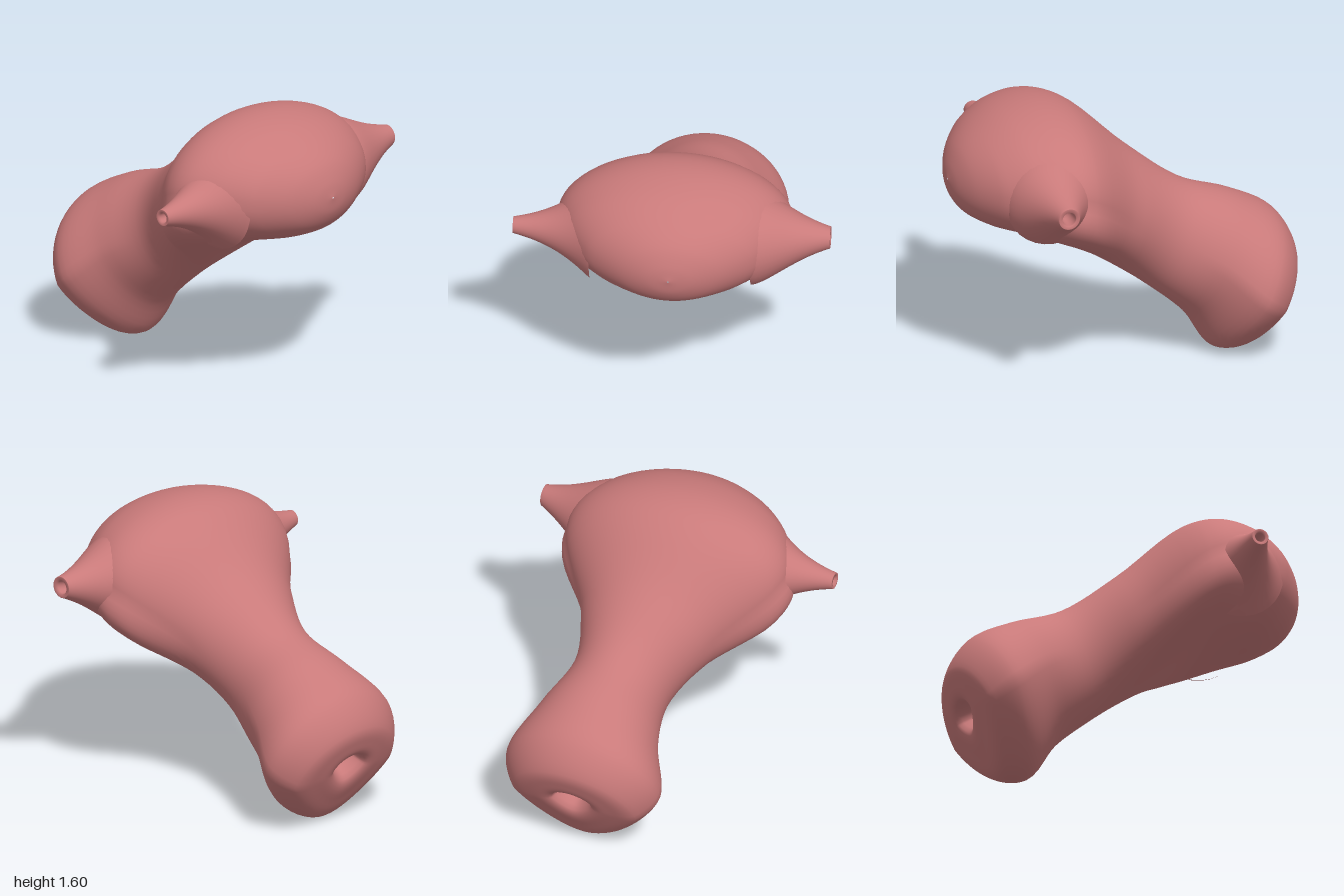
import * as THREE from 'three';

const { smoothstep } = THREE.MathUtils;

// Skins a list of closed rings (each an array of Vector3) with smooth normals.
function loft(rings) {
  const n = rings[0].length, index = [];
  for (let i = 0; i < rings.length - 1; i++) {
    for (let j = 0; j < n; j++) {
      const k = (j + 1) % n;
      const a = i * n + j, b = (i + 1) * n + j, c = i * n + k, d = (i + 1) * n + k;
      index.push(a, b, c, b, d, c);
    }
  }
  const geometry = new THREE.BufferGeometry().setFromPoints(rings.flat());
  geometry.setIndex(index);
  geometry.computeVertexNormals();
  return geometry;
}

// Builds one closed ring from a function of the angle.
const ring = (count, pointAt) =>
  Array.from({ length: count }, (_, j) => pointAt(j / count * Math.PI * 2));

// Body stations, front to back: upper z, upper y, lower z, lower y, half width
const BODY = [
  [0.998, 1.205, 0.998, 1.195, 0.005],
  [0.98, 1.29, 0.98, 1.1, 0.13],
  [0.93, 1.39, 0.92, 1.01, 0.28],
  [0.82, 1.49, 0.8, 0.945, 0.46],
  [0.66, 1.57, 0.62, 0.9, 0.595],
  [0.45, 1.6, 0.47, 0.85, 0.66],
  [0.27, 1.55, 0.35, 0.79, 0.63],
  [-0.05, 1.27, 0.12, 0.63, 0.4],
  [-0.36, 1.04, -0.13, 0.45, 0.283],
  [-0.66, 0.93, -0.36, 0.25, 0.36],
  [-0.9, 0.79, -0.52, 0.025, 0.463],
  [-0.995, 0.61, -0.69, 0.015, 0.37],
  [-0.98, 0.52, -0.79, 0.13, 0.25],
  // the opening folds inwards here
  [-0.93, 0.44, -0.85, 0.27, 0.12],
  [-0.71, 0.5, -0.67, 0.42, 0.06],
  [-0.64, 0.495, -0.64, 0.49, 0.004],
];

function bodyGeometry() {
  const sample = toPoint =>
    new THREE.CatmullRomCurve3(BODY.map(toPoint)).getPoints((BODY.length - 1) * 6);
  const upper = sample(s => new THREE.Vector3(0, s[1], s[0]));
  const lower = sample(s => new THREE.Vector3(0, s[3], s[2]));
  const width = sample((s, i) => new THREE.Vector3(s[4], i * 0.1, 0));
  return loft(upper.map((u, i) => {
    const centre = u.clone().add(lower[i]).multiplyScalar(0.5);
    const half = u.clone().sub(lower[i]).multiplyScalar(0.5);
    const z = centre.z;
    // the back end leans to the left
    const cx = 0.01 + 0.075 * smoothstep(-z, -0.3, 0.55);
    // the underside is fuller at the front and narrower at the back
    const fuller = 0.32 * smoothstep(z, -0.1, 0.3) * (1 - smoothstep(z, 0.4, 0.95));
    const narrower = 0.35 * smoothstep(-z, 0.3, 0.7);
    return ring(64, a => {
      const s = Math.sin(a);
      const p = centre.clone().addScaledVector(half, s);
      p.x = cx + width[i].x * Math.cos(a) * (1 + (fuller - narrower) * Math.max(0, -s));
      return p;
    });
  }));
}

// Hollow side tube that flares smoothly into the body
function tubeGeometry({ side, base, tip, baseRadius, tipRadius, flare }) {
  const from = new THREE.Vector3(...base), to = new THREE.Vector3(...tip);
  const steps = 24, rings = [];
  const addRing = (centre, r) => rings.push(ring(32, a => new THREE.Vector3(
    centre.x, centre.y + r * Math.sin(a), centre.z + side * r * Math.cos(a))));
  for (let i = 0; i <= steps; i++) {
    const t = i / steps;
    addRing(from.clone().lerp(to, t),
      baseRadius * Math.pow(tipRadius / baseRadius, Math.pow(t, flare)));
  }
  // rim, then the bore running back inside and its closed end
  for (const [t, scale] of [[1, 0.97], [1, 0.66], [0.97, 0.62], [0.7, 0.5], [0.7, 0.01]]) {
    addRing(from.clone().lerp(to, t), tipRadius * scale);
  }
  return loft(rings);
}

export function createModel() {
  const group = new THREE.Group();
  const material = new THREE.MeshStandardMaterial({ color: 0xc97a7a });
  const add = (name, geometry) => {
    const mesh = new THREE.Mesh(geometry, material);
    mesh.name = name;
    group.add(mesh);
  };
  add('body', bodyGeometry());
  add('leftTube', tubeGeometry({
    side: 1, base: [0.45, 1.19, 0.53], tip: [0.885, 1.247, 0.577],
    baseRadius: 0.27, tipRadius: 0.062, flare: 1.5,
  }));
  add('rightTube', tubeGeometry({
    side: -1, base: [-0.45, 1.18, 0.53], tip: [-0.892, 1.2, 0.545],
    baseRadius: 0.27, tipRadius: 0.047, flare: 1.1,
  }));
  return group;
}
